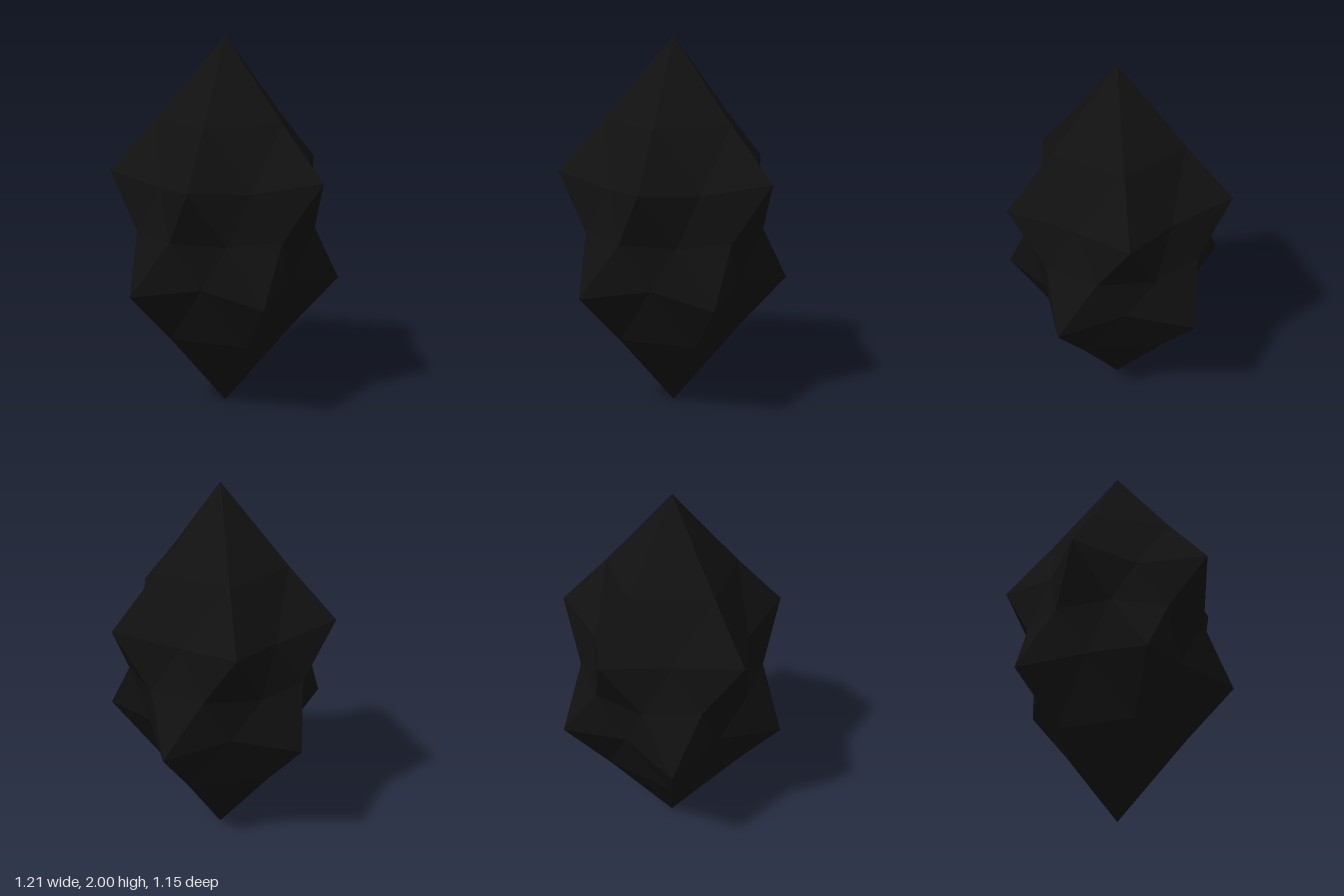
import * as THREE from 'three';

// One half of the crystal: five identical wedges around a tall apex.
// side = 1 is the upper half, side = -1 the same half turned over and offset by 36 degrees.
function crystalHalf(side) {
  const positions = [];
  const point = (degrees, radius, height) => {
    const a = THREE.MathUtils.degToRad(side > 0 ? degrees : 36 - degrees);
    return [radius * Math.cos(a), side * height, -radius * Math.sin(a)];
  };
  const face = (...corners) => corners.forEach((c) => positions.push(...c));

  const apex = point(0, 0, 1);
  const shoulder = (d) => point(d, 0.355, 0.575);
  const spike = (d) => point(d, 0.606, 0.297);
  const dimple = (d) => point(d, 0.412, 0.25);
  const waist = (d) => point(d, 0.484, 0);

  for (let k = 0; k < 5; k++) {
    const d = k * 72;
    const s0 = shoulder(d), s1 = shoulder(d + 72);
    const t0 = spike(d), t1 = spike(d + 72);
    const m = dimple(d + 36);
    const w0 = waist(d - 18), w1 = waist(d + 18), w2 = waist(d + 54);
    // Cap and the sunken facets between two spikes
    face(apex, s0, s1);
    face(s0, t0, m);
    face(s0, m, s1);
    face(s1, m, t1);
    // Facets running in to the waist
    face(t0, w1, m);
    face(m, w1, w2);
    face(m, w2, t1);
    face(t0, w0, w1);
  }

  const geometry = new THREE.BufferGeometry();
  geometry.setAttribute('position', new THREE.Float32BufferAttribute(positions, 3));
  geometry.computeVertexNormals();
  return geometry;
}

export function createModel() {
  const group = new THREE.Group();
  group.name = 'crystal';
  const material = new THREE.MeshStandardMaterial({ color: 0x111111, flatShading: true });

  for (const [name, side] of [['upperHalf', 1], ['lowerHalf', -1]]) {
    const half = new THREE.Mesh(crystalHalf(side), material);
    half.name = name;
    half.position.y = 1;
    group.add(half);
  }
  return group;
}
